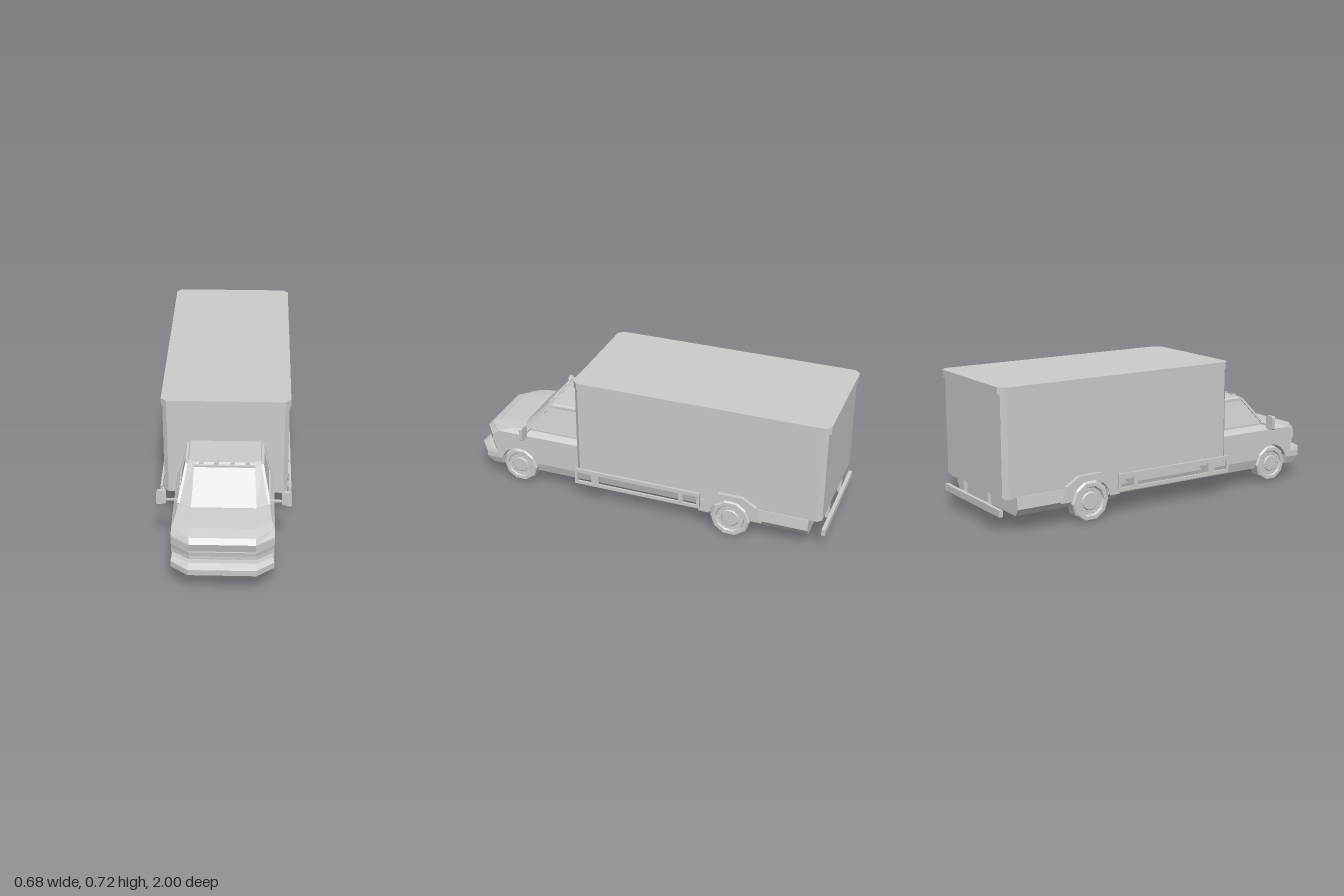
import * as THREE from 'three';

const grey = new THREE.MeshStandardMaterial({ color: 0xcccccc, flatShading: true, side: THREE.DoubleSide });

function add(parent, name, geo) {
  const m = new THREE.Mesh(geo, grey);
  m.name = name;
  parent.add(m);
  return m;
}

// symmetric plan outline at height y; half = right-hand [x, z] points from back to front
function ring(y, half) {
  const left = half.map(([x, z]) => [-x, y, z]);
  const right = half.map(([x, z]) => [x, y, z]).reverse();
  return [...left, ...right];
}
const rect = (y, w, z0, z1) => ring(y, [[w, z0], [w, z1]]);
// outline with swept-back front corners
const nose = (y, w, zBack, zSide, xMid, zFront) => ring(y, [[w, zBack], [w, zSide], [xMid, zFront]]);
// rectangle with cut corners
const cut = (y, w, z0, z1, c) => ring(y, [[w - c, z0], [w, z0 + c], [w, z1 - c], [w - c, z1]]);

// skin stacked convex rings and cap both ends
function loft(rings) {
  const n = rings[0].length, idx = [], last = (rings.length - 1) * n;
  for (let i = 0; i < rings.length - 1; i++)
    for (let j = 0; j < n; j++) {
      const a = i * n + j, b = i * n + (j + 1) % n;
      idx.push(a, b, b + n, a, b + n, a + n);
    }
  for (let k = 1; k < n - 1; k++) idx.push(0, k + 1, k, last, last + k, last + k + 1);
  const g = new THREE.BufferGeometry();
  g.setAttribute('position', new THREE.Float32BufferAttribute(rings.flat(2), 3));
  g.setIndex(idx);
  g.computeVertexNormals();
  return g;
}

// side profile in [z, y], extruded inwards from x = xOuter
function sideExtrude(pts, xOuter, depth, holes = []) {
  const v = (p) => p.map(([a, b]) => new THREE.Vector2(a, b));
  const s = new THREE.Shape(v(pts));
  holes.forEach((h) => s.holes.push(new THREE.Path(v(h))));
  return new THREE.ExtrudeGeometry(s, { depth, bevelEnabled: false }).rotateY(-Math.PI / 2).translate(xOuter, 0, 0);
}
const quad = (z0, z1, y0, y1) => [[z0, y0], [z1, y0], [z1, y1], [z0, y1]];

function block(x0, x1, y0, y1, z0, z1) {
  return new THREE.BoxGeometry(x1 - x0, y1 - y0, z1 - z0).translate((x0 + x1) / 2, (y0 + y1) / 2, (z0 + z1) / 2);
}

// square bar between two points
function bar(a, b, t) {
  const A = new THREE.Vector3(...a), B = new THREE.Vector3(...b), d = B.clone().sub(A);
  const g = new THREE.BoxGeometry(t, d.length() + t * 0.5, t);
  g.applyQuaternion(new THREE.Quaternion().setFromUnitVectors(new THREE.Vector3(0, 1, 0), d.normalize()));
  return g.translate(...A.add(B).multiplyScalar(0.5).toArray());
}

// points on a wheel arch, front to back or back to front
function arch(zc, yc, r, a0, a1, n = 8) {
  return Array.from({ length: n + 1 }, (_, i) => {
    const a = a0 + (a1 - a0) * i / n;
    return [zc + r * Math.cos(a), yc + r * Math.sin(a)];
  });
}

// ten-sided tyre with a dished rim and wheel nuts, outer face towards +x
function wheel(name, r, width, dish) {
  const g = new THREE.Group();
  g.name = name;
  const lathe = (pts, n) => new THREE.LatheGeometry(pts.map((p) => new THREE.Vector2(...p)), n).rotateZ(-Math.PI / 2);
  const h = width / 2;
  add(g, 'tyre', lathe([[0, -h], [r * 0.92, -h], [r, -h + 0.008], [r, h - 0.008], [r * 0.92, h], [r * 0.74, h], [r * 0.7, h - dish]], 10));
  add(g, 'rim', lathe([[r * 0.72, h - 0.004], [r * 0.66, h - dish], [r * 0.45, h - dish], [r * 0.4, h - dish * 0.5], [0, h - dish * 0.5]], 20));
  for (let i = 0; i < 10; i++) {
    const a = i * Math.PI / 5;
    const nut = new THREE.CylinderGeometry(0.004, 0.004, dish + 0.003, 6).rotateZ(Math.PI / 2);
    add(g, 'wheelNut', nut.translate(h - dish / 2 + 0.0015, r * 0.56 * Math.sin(a), r * 0.56 * Math.cos(a)));
  }
  return g;
}

// parts that appear on both sides, modelled on +x
function sideParts() {
  const g = new THREE.Group();
  const front = wheel('frontWheel', 0.1, 0.07, 0.008);
  front.position.set(0.211, 0.105, 0.735);
  const rear = wheel('rearWheel', 0.107, 0.072, 0.012);
  rear.position.set(0.302, 0.105, -0.505);
  g.add(front, rear);

  // cab side with front wheel arch
  add(g, 'cabSide', sideExtrude([[0.36, 0.14], ...arch(0.735, 0.105, 0.108, Math.PI - 0.33, 0.33),
    [0.87, 0.14], [0.87, 0.215], [0.36, 0.215]], 0.25, 0.085));

  // rear wheel arch flare
  add(g, 'rearFender', sideExtrude([[-0.335, 0.12], [-0.365, 0.2], [-0.44, 0.245], [-0.57, 0.245], [-0.645, 0.2], [-0.675, 0.12],
    ...arch(-0.505, 0.105, 0.112, Math.PI - 0.13, 0.13)], 0.34, 0.1));
  add(g, 'fenderFront', loft([[0.25, 0.305, 0.09], [0.25, 0.336, 0.125], [0.25, 0.33, 0.185]].map(([a, b, y]) =>
    [[a, y, -0.405], [a, y, -0.345], [b, y, -0.345], [b, y, -0.405]])));

  // slotted side rail and its brackets
  add(g, 'sideRail', sideExtrude(quad(-0.34, 0.36, 0.13, 0.22), 0.34, 0.012,
    [quad(0.265, 0.345, 0.147, 0.2), quad(-0.225, 0.225, 0.147, 0.2), quad(-0.325, -0.25, 0.147, 0.2)]));
  for (const z of [0.24, -0.235]) add(g, 'railBracket', block(0.24, 0.33, 0.15, 0.18, z - 0.008, z + 0.008));

  // mirror
  add(g, 'mirrorArm', block(0.215, 0.29, 0.337, 0.346, 0.665, 0.675));
  add(g, 'mirrorHousing', loft([[0.32, 0.006], [0.327, 0], [0.388, 0], [0.396, 0.006]].map(([y, i]) =>
    [[0.285 + i, y, 0.66], [0.285 + i, y, 0.675], [0.334 - i, y, 0.683], [0.334 - i, y, 0.665]])));

  // window surrounds
  const base = [0.223, 0.336, 0.69], top = [0.189, 0.482, 0.562];
  add(g, 'windscreenPillar', bar(base, top, 0.013));
  add(g, 'roofRail', bar(top, [0.189, 0.482, 0.37], 0.013));
  add(g, 'rearPillar', bar([0.223, 0.338, 0.385], [0.189, 0.482, 0.385], 0.016));
  add(g, 'windowSill', bar([0.224, 0.336, 0.37], base, 0.01));

  // lamps wrapping the front corners
  const lamp = (y0, y1, z) => loft([y0, y1].map((y) =>
    [[0.16, y, z - 0.02], [0.16, y, z + 0.005], [0.251, y, z - 0.064], [0.251, y, z - 0.09]]));
  add(g, 'headlamp', lamp(0.236, 0.275, 0.954));
  add(g, 'turnLamp', lamp(0.181, 0.203, 0.938));
  return g;
}

export function createModel() {
  const truck = new THREE.Group();
  truck.name = 'boxTruck';

  // cargo box and roof cap
  add(truck, 'cargoBox', loft([cut(0.185, 0.32, -0.98, 0.36, 0.022), cut(0.695, 0.32, -0.98, 0.36, 0.022)]));
  add(truck, 'roofCap', loft([cut(0.69, 0.327, -0.993, 0.367, 0.028), cut(0.728, 0.327, -0.993, 0.367, 0.028)]));

  // chassis and lower body
  add(truck, 'rocker', loft([rect(0.09, 0.235, -0.915, 0.628), rect(0.14, 0.25, -0.915, 0.628)]));
  add(truck, 'chassis', loft([rect(0.14, 0.25, -0.915, 0.36), rect(0.19, 0.25, -0.915, 0.36)]));
  add(truck, 'engineBay', loft([rect(0.09, 0.165, 0.36, 0.87), rect(0.215, 0.165, 0.36, 0.87)]));
  add(truck, 'rearSkirt', loft([rect(0.09, 0.305, -0.915, -0.61), rect(0.125, 0.33, -0.915, -0.61), rect(0.187, 0.325, -0.915, -0.61)]));

  // cab body and bonnet
  add(truck, 'cabBody', loft([
    nose(0.213, 0.25, 0.36, 0.87, 0.16, 0.94),
    nose(0.234, 0.25, 0.36, 0.875, 0.16, 0.945),
    nose(0.277, 0.25, 0.36, 0.885, 0.16, 0.957),
    nose(0.302, 0.25, 0.36, 0.85, 0.16, 0.935),
    nose(0.32, 0.236, 0.36, 0.8, 0.16, 0.88),
    nose(0.336, 0.225, 0.36, 0.7, 0.16, 0.74)]));

  // cab roof and windscreen
  add(truck, 'cabUpper', loft([
    nose(0.334, 0.224, 0.36, 0.69, 0.16, 0.73),
    nose(0.482, 0.189, 0.36, 0.56, 0.15, 0.58),
    nose(0.495, 0.178, 0.36, 0.54, 0.14, 0.562)]));
  add(truck, 'windscreenHeader', bar([-0.15, 0.482, 0.579], [0.15, 0.482, 0.579], 0.011));
  for (const x of [-0.115, -0.04, 0.04, 0.115])
    add(truck, 'roofMarker', block(x - 0.011, x + 0.011, 0.489, 0.499, 0.55, 0.574));

  // grille, plate and bumper
  add(truck, 'grilleBand', loft([nose(0.205, 0.25, 0.845, 0.878, 0.16, 0.948), nose(0.229, 0.25, 0.845, 0.882, 0.16, 0.952)]));
  add(truck, 'lowerGrille', loft([nose(0.14, 0.246, 0.845, 0.865, 0.16, 0.935), nose(0.207, 0.246, 0.845, 0.865, 0.16, 0.935)]));
  add(truck, 'frontPlate', block(-0.04, 0.04, 0.179, 0.2, 0.93, 0.94));
  add(truck, 'frontBumper', loft([
    nose(0.088, 0.235, 0.842, 0.9, 0.16, 0.965),
    nose(0.128, 0.25, 0.842, 0.93, 0.165, 0.998),
    nose(0.16, 0.25, 0.842, 0.93, 0.165, 1.0),
    nose(0.177, 0.246, 0.842, 0.91, 0.16, 0.965)]));

  // rear step
  add(truck, 'rearSill', block(-0.29, 0.29, 0.17, 0.19, -0.965, -0.91));
  add(truck, 'rearStep', block(-0.3, 0.3, 0.095, 0.13, -1.0, -0.98));
  for (const x of [-0.13, 0.13]) add(truck, 'stepPost', block(x - 0.012, x + 0.012, 0.1, 0.188, -0.98, -0.96));

  // mirrored pairs
  const left = sideParts(), right = sideParts();
  left.name = 'leftSide';
  right.name = 'rightSide';
  right.scale.x = -1;
  truck.add(left, right);
  return truck;
}
